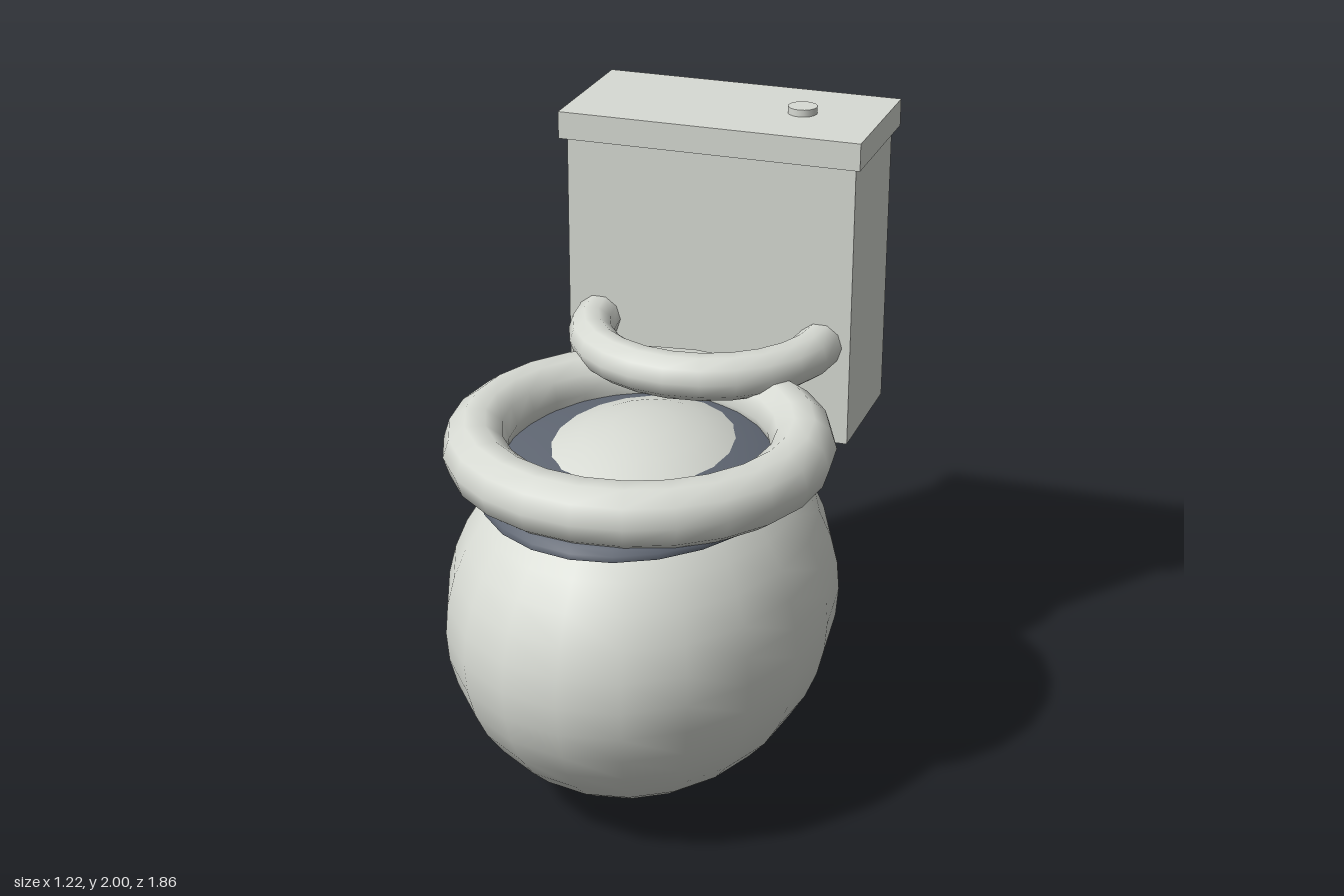
import * as THREE from 'three';

export function createModel() {
  const group = new THREE.Group();
  const ceramic = new THREE.MeshStandardMaterial({ color: 0xd8dbd4 });
  ceramic.name = 'ceramic';
  const water = new THREE.MeshStandardMaterial({ color: 0x5f6672 });
  water.name = 'dark water';

  const add = (name, geometry, material, x, y, z) => {
    const mesh = new THREE.Mesh(geometry, material);
    mesh.name = name;
    mesh.position.set(x, y, z);
    group.add(mesh);
    return mesh;
  };
  const ring = (name, radius, tube, y, z) =>
    add(name, new THREE.TorusGeometry(radius, tube, 10, 24).rotateX(Math.PI / 2), ceramic, 0, y, z);

  // Egg-shaped bowl
  add('bowl', new THREE.SphereGeometry(1, 20, 20).scale(0.607, 0.605, 0.767), ceramic, 0, 0.61, 0.165);

  // Shallow dark dome, open underneath, with the bowl rising through its middle
  add('water', new THREE.SphereGeometry(1, 24, 12, 0, Math.PI * 2, 0, Math.PI / 2).scale(0.49, 0.122, 0.645),
    water, 0, 1.047, 0.165);

  // Seat and raised lid ring, whose back pokes through the tank
  ring('seat', 0.507, 0.102, 1.158, 0.205);
  ring('lidRing', 0.382, 0.076, 1.272, -0.457);

  // Tank with cover and flush button
  add('tank', new THREE.BoxGeometry(0.97, 0.955, 0.44), ceramic, 0, 1.412, -0.68);
  add('tankCover', new THREE.BoxGeometry(1.01, 0.09, 0.5), ceramic, 0, 1.932, -0.682);
  add('flushButton', new THREE.CylinderGeometry(0.048, 0.048, 0.04, 16), ceramic, 0.243, 1.98, -0.682);

  return group;
}
